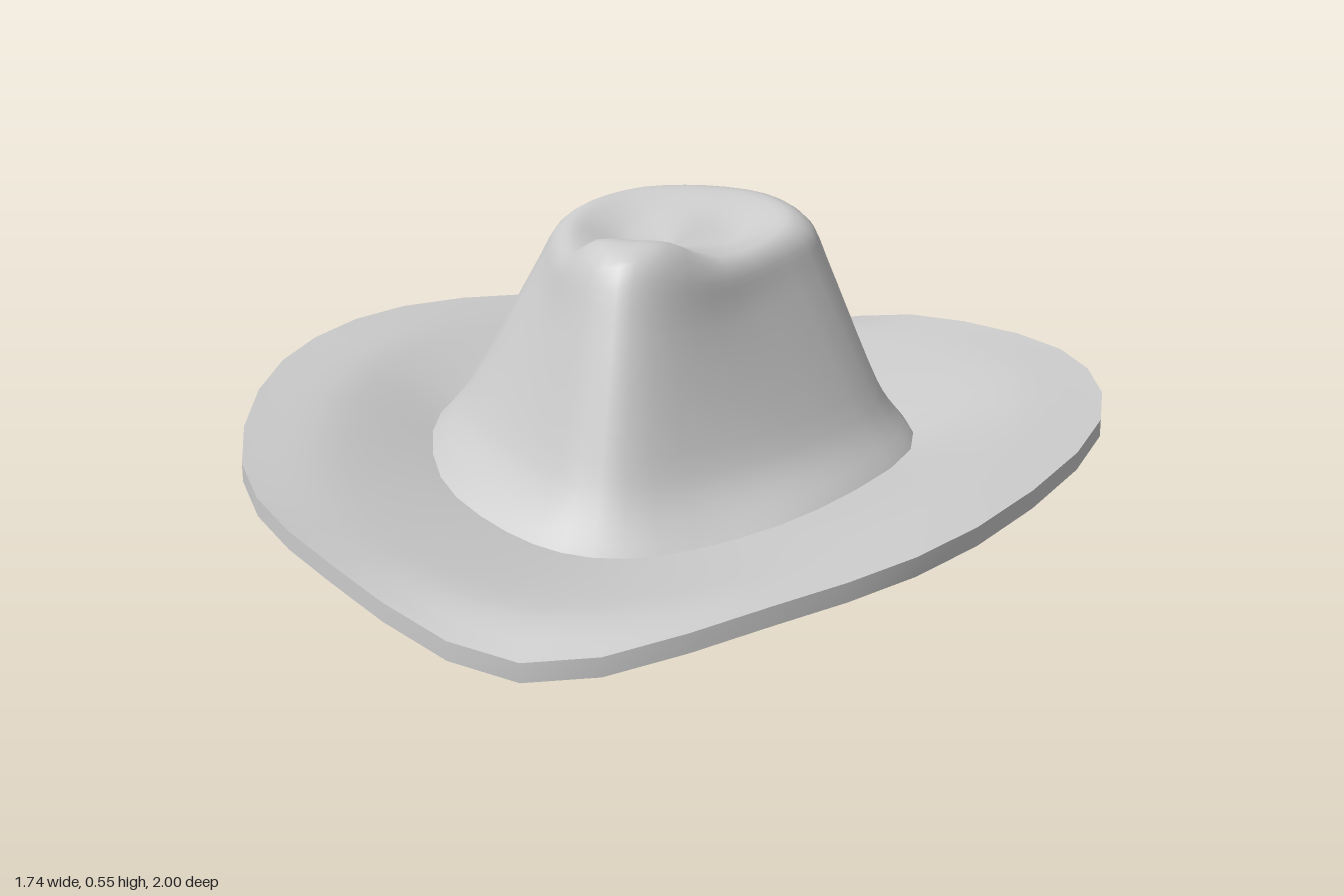
import * as THREE from 'three';

const SEGMENTS = 36;
const THICKNESS = 0.035;

// Half outlines [x, y, z], running from the front round the left side to the back
const baseRing = [[0, .04, .56], [.18, .05, .5], [.37, .075, .32], [.5, .075, -.05], [.42, .075, -.32], [.22, .05, -.47], [0, .04, -.51]];
const brimMid = [[0, .078, .88], [.31, .095, .73], [.55, .137, .45], [.69, .143, -.07], [.62, .137, -.46], [.33, .095, -.77], [0, .078, -.88]];
const brimOuter = [[0, .04, 1], [.38, .112, .85], [.68, .155, .54], [.87, .157, -.08], [.77, .155, -.56], [.4, .112, -.915], [0, .04, -1]];
const crownLow = [[0, .16, .5], [.14, .16, .43], [.31, .16, .24], [.43, .16, -.06], [.37, .16, -.3], [.2, .16, -.43], [0, .16, -.46]];
const crownHigh = [[0, .4, .41], [.1, .4, .35], [.2, .39, .19], [.3, .4, -.1], [.28, .4, -.3], [.17, .4, -.43], [0, .4, -.467]];
const crownShoulder = [[0, .525, .355], [.085, .51, .31], [.17, .475, .17], [.26, .475, -.12], [.25, .48, -.28], [.15, .49, -.41], [0, .5, -.44]];
const crownRim = [[0, .555, .27], [.07, .55, .25], [.14, .5, .14], [.21, .495, -.1], [.2, .51, -.25], [.12, .522, -.34], [0, .525, -.36]];
const crownDish = [[0, .515, .12], [.035, .505, .1], [.07, .485, .05], [.11, .465, -.08], [.1, .475, -.18], [.05, .49, -.23], [0, .495, -.24]];
const crownCentre = baseRing.map(() => [0, .465, -.06]);

// Mirrors a half outline and samples it as a smooth closed loop
function ring(half) {
  const left = half.map(([x, y, z]) => new THREE.Vector3(x, y, z));
  const right = half.slice(1, -1).reverse().map(([x, y, z]) => new THREE.Vector3(-x, y, z));
  const curve = new THREE.CatmullRomCurve3([...left, ...right], true, 'catmullrom');
  return Array.from({ length: SEGMENTS }, (_, i) => curve.getPoint(i / SEGMENTS));
}

// Skins a surface through rings, curving smoothly from one to the next
function loft(rings, steps) {
  const positions = [];
  const index = [];
  const columns = rings[0].map((_, i) => new THREE.CatmullRomCurve3(rings.map((r) => r[i]), false, 'catmullrom', 0.4));
  for (let j = 0; j <= steps; j++) {
    for (const column of columns) positions.push(...column.getPoint(j / steps).toArray());
  }
  for (let j = 0; j < steps; j++) {
    for (let i = 0; i < SEGMENTS; i++) {
      const a = j * SEGMENTS + i;
      const b = j * SEGMENTS + (i + 1) % SEGMENTS;
      const c = a + SEGMENTS;
      const d = b + SEGMENTS;
      index.push(a, b, d);
      if (j < steps - 1 || rings[rings.length - 1][0].distanceTo(rings[rings.length - 1][1]) > 1e-5) index.push(a, d, c);
      else index.push(a, d, c);
    }
  }
  const geometry = new THREE.BufferGeometry();
  geometry.setAttribute('position', new THREE.Float32BufferAttribute(positions, 3));
  geometry.setIndex(index);
  geometry.computeVertexNormals();
  return geometry;
}

export function createModel() {
  const hat = new THREE.Group();
  hat.name = 'hat';
  const material = new THREE.MeshStandardMaterial({ color: 0xcccccc, side: THREE.DoubleSide });
  const add = (parent, name, rings, steps) => {
    const mesh = new THREE.Mesh(loft(rings, steps), material);
    mesh.name = name;
    parent.add(mesh);
  };
  const lower = (r) => r.map((p) => new THREE.Vector3(p.x, p.y - THICKNESS, p.z));

  // Brim: upturned sides, dipped front and back, with a thin hard edge
  const brim = new THREE.Group();
  brim.name = 'brim';
  hat.add(brim);
  const top = [brimOuter, brimMid, baseRing].map(ring);
  const under = top.map(lower).reverse();
  add(brim, 'brimTop', top, 10);
  add(brim, 'brimEdge', [under[2], top[0]], 1);
  add(brim, 'brimUnderside', under, 10);
  add(brim, 'brimInnerEdge', [top[2], under[0]], 1);

  // Crown: flared teardrop wall rolling over into a dished top
  const crown = [baseRing, crownLow, crownHigh, crownShoulder, crownRim, crownDish, crownCentre].map(ring);
  add(hat, 'crown', crown, 30);

  return hat;
}
